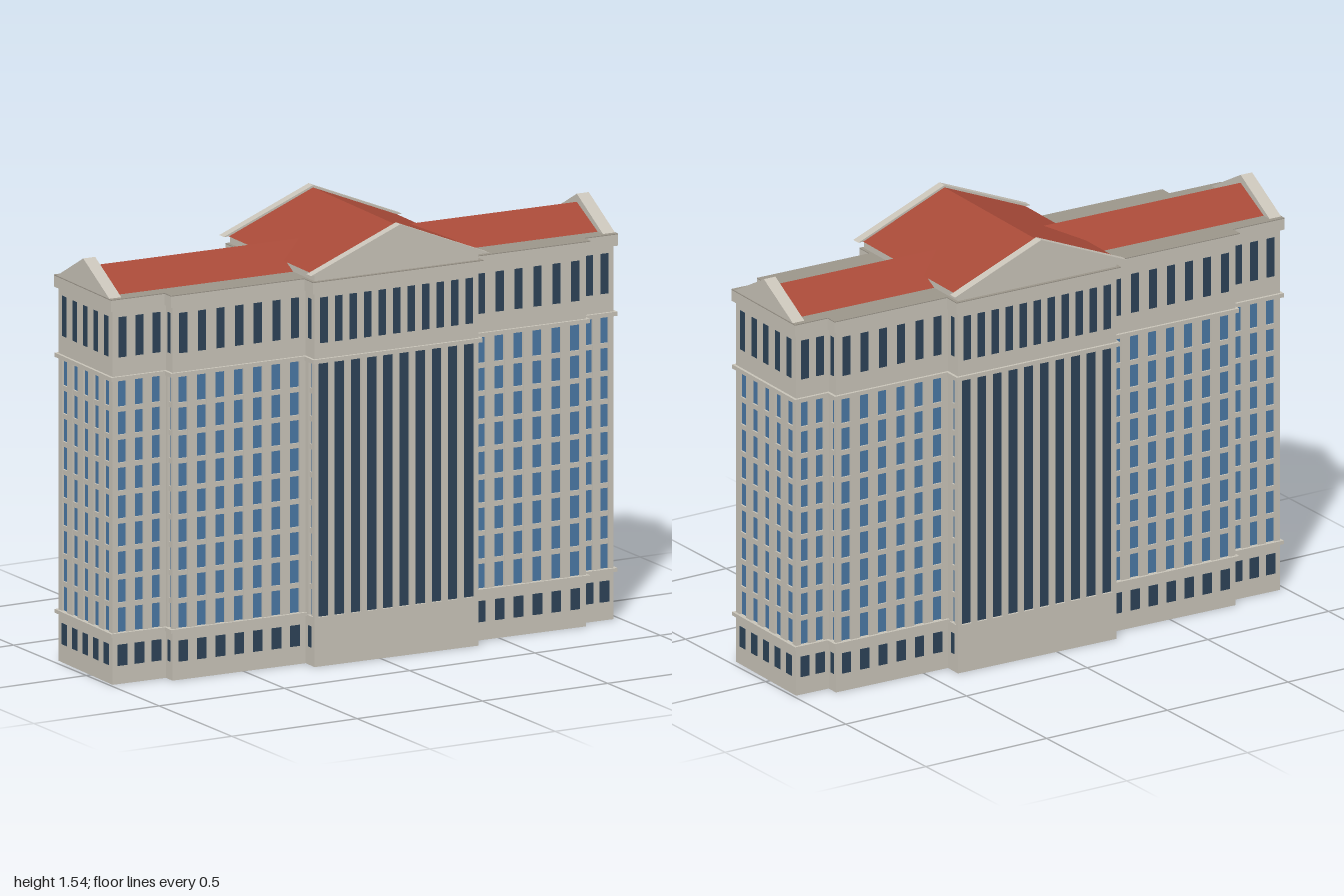
import * as THREE from 'three';

const mat = (name, color) => {
  const m = new THREE.MeshStandardMaterial({ color });
  m.name = name;
  return m;
};

export function createModel() {
  const stone = mat('stone', 0xc9c4b9);
  const deck = mat('roofDeck', 0x9c968b);
  const tile = mat('roofTile', 0xa84a38);
  const glass = mat('blueGlass', 0x4a78a5);
  const dark = mat('darkGlass', 0x2d4358);

  const model = new THREE.Group();
  model.name = 'building';

  // box given by its limits on each axis
  function box(parent, name, m, x0, x1, y0, y1, z0, z1) {
    const mesh = new THREE.Mesh(new THREE.BoxGeometry(x1 - x0, y1 - y0, z1 - z0), m);
    mesh.position.set((x0 + x1) / 2, (y0 + y1) / 2, (z0 + z1) / 2);
    mesh.name = name;
    parent.add(mesh);
    return mesh;
  }

  // triangular prism along z, from z0 to z1
  function prism(parent, name, m, half, y0, y1, z0, z1) {
    const s = new THREE.Shape();
    s.moveTo(-half, y0);
    s.lineTo(half, y0);
    s.lineTo(0, y1);
    s.closePath();
    const g = new THREE.ExtrudeGeometry(s, { depth: z1 - z0, bevelEnabled: false });
    g.translate(0, 0, z0);
    const mesh = new THREE.Mesh(g, m);
    mesh.name = name;
    parent.add(mesh);
    return mesh;
  }

  const D = 0.012; // depth of the window recess
  const Y = { base: 0.17, low: 0.183, high: 1.08, upper: 1.095, eave: 1.33, top: 1.37 };

  // stepped masses, each running through the full depth
  function mass(name, x0, x1, h, plain) {
    const g = new THREE.Group();
    g.name = name;
    model.add(g);
    box(g, 'base', stone, x0, x1, 0, Y.base + 0.005, -h, h);
    box(g, 'core', stone, x0 + D, x1 - D, Y.base, Y.high, -h + D, h - D);
    box(g, 'upperStorey', stone, x0, x1, Y.high, Y.eave, -h, h);
    const ledge = (n, m, y0, y1, o) => box(g, n, m, x0 - o, x1 + o, y0, y1, -h - o, h + o);
    if (!plain) ledge('lowerLedge', stone, Y.base, Y.low, 0.01);
    ledge('upperLedge', stone, Y.high, Y.upper, 0.01);
    ledge('cornice', stone, Y.eave, Y.top, 0.012);
    ledge('roofDeck', deck, Y.top, Y.top + 0.003, 0.012);
  }
  const XE = 0.983, ZE = 0.196;
  const ML = -0.773, MR = 0.85, ZM = 0.242;
  const CX = 0.072, CW = 0.322, ZC = 0.306;
  const CL = CX - CW, CR = CX + CW;
  mass('endBlock', -XE, XE, ZE);
  mass('wingBlock', ML, MR, ZM);
  mass('centralBlock', CL, CR, ZC, true);

  // one wall face: pilasters, floor bands, glazing and small windows
  function facade(x, z, turn, w, n, central) {
    const g = new THREE.Group();
    g.name = central ? 'centralFacade' : 'facade';
    g.position.set(x, 0, z);
    g.rotation.y = turn;
    model.add(g);
    const pitch = w / (n + 0.15);
    const at = (i, p, count) => (i - (count - 1) / 2) * p;
    const ww = central ? 0.041 : n === 1 ? 0.022 : pitch * 0.52;
    const y0 = central ? Y.base : Y.low - 0.005;

    box(g, 'glazing', central ? dark : glass, -w / 2 + D, w / 2 - D, y0, Y.high, -D, -D + 0.003);
    let left = -w / 2;
    for (let i = 0; i <= n; i++) {
      const right = i < n ? at(i, pitch, n) - ww / 2 : w / 2;
      box(g, 'pilaster', stone, left, right, y0, Y.high, -D, 0);
      left = right + ww;
    }
    if (!central) {
      for (let k = 1; k < 9; k++) {
        const y = 0.18 + k * 0.0995;
        box(g, 'floorBand', stone, -w / 2 + D / 2, w / 2 - D / 2, y - 0.009, y + 0.009, -D, -0.003);
      }
    }
    // windows of the ground and top storeys
    const m = central ? 11 : n;
    const p = central ? w / 11.3 : pitch;
    const uw = central ? 0.029 : n === 1 ? 0.02 : 0.031;
    const bw = n === 1 ? 0.02 : 0.037;
    for (let i = 0; i < m; i++) {
      const c = at(i, p, m);
      box(g, 'topWindow', dark, c - uw / 2, c + uw / 2, central ? 1.15 : 1.162, central ? 1.312 : 1.305, -0.004, 0.002);
      if (!central) box(g, 'groundWindow', dark, c - bw / 2, c + bw / 2, 0.065, 0.14, -0.004, 0.002);
    }
  }

  // front and back faces, as [x0, x1, z, windows, central]
  const spans = [
    [-XE, ML, ZE, 3], [ML, CL, ZM, 7], [CL, CR, ZC, 10, true],
    [CR, MR, ZM, 6], [MR, XE, ZE, 2],
  ];
  for (const s of [1, -1]) {
    for (const [x0, x1, z, n, central] of spans) {
      facade((x0 + x1) / 2, s * z, s > 0 ? 0 : Math.PI, x1 - x0, n, central);
    }
    // narrow returns at the steps, on both flanks
    for (const [xl, xr, za, zb] of [[ML, MR, ZE, ZM], [CL, CR, ZM, ZC]]) {
      facade(xr, s * (za + zb) / 2, Math.PI / 2, zb - za, 1);
      facade(xl, s * (za + zb) / 2, -Math.PI / 2, zb - za, 1);
    }
    // end walls
    facade(s * XE, 0, s * Math.PI / 2, 2 * ZE, 5);
  }

  // long roof with a gable slab at each end
  const longRoof = new THREE.Group();
  longRoof.name = 'longRoof';
  longRoof.rotation.y = Math.PI / 2;
  model.add(longRoof);
  prism(longRoof, 'roofTiles', tile, 0.158, Y.top, 1.446, -0.95, 0.95);
  prism(longRoof, 'endGable', stone, 0.195, Y.top, 1.475, 0.945, 0.992);
  prism(longRoof, 'endGable', stone, 0.195, Y.top, 1.475, -0.992, -0.945);

  // central cross roof with pediments front and back
  const crossRoof = new THREE.Group();
  crossRoof.name = 'crossRoof';
  crossRoof.position.x = CX;
  model.add(crossRoof);
  box(crossRoof, 'attic', stone, -CW, CW, Y.top, 1.4, -ZC, ZC);
  prism(crossRoof, 'roofTiles', tile, 0.33, 1.4, 1.535, -0.302, 0.302);
  prism(crossRoof, 'pediment', stone, 0.35, 1.4, 1.543, 0.3, 0.333);
  prism(crossRoof, 'pediment', stone, 0.35, 1.4, 1.543, -0.333, -0.3);

  // the plan stands slightly turned
  model.rotation.y = -0.03;
  model.position.z = -0.006;
  const root = new THREE.Group();
  root.name = 'model';
  root.add(model);
  return root;
}
